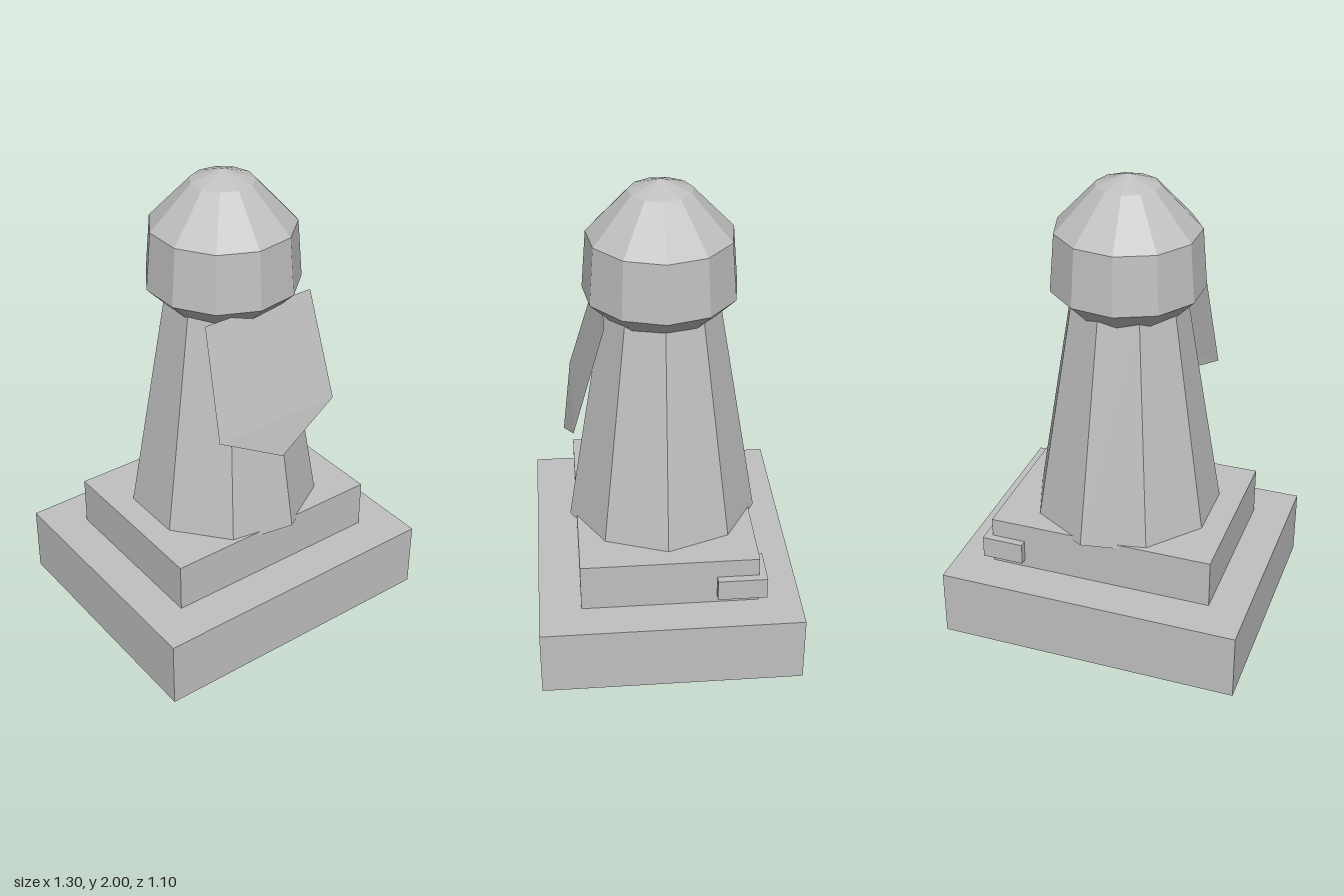
import * as THREE from 'three';

const stone = new THREE.MeshStandardMaterial({ color: 0xc0c0c0 });
stone.name = 'grey stone';
const sheetStone = new THREE.MeshStandardMaterial({ color: 0xc0c0c0, side: THREE.DoubleSide });
sheetStone.name = 'grey stone sheet';

// Adds a named mesh with hard facets
function add(group, name, geometry, material = stone) {
  const faceted = geometry.index ? geometry.toNonIndexed() : geometry;
  faceted.computeVertexNormals();
  const mesh = new THREE.Mesh(faceted, material);
  mesh.name = name;
  group.add(mesh);
  return mesh;
}

// Box given by its low and high corners
function box(group, name, [x0, y0, z0], [x1, y1, z1]) {
  const mesh = add(group, name, new THREE.BoxGeometry(x1 - x0, y1 - y0, z1 - z0));
  mesh.position.set((x0 + x1) / 2, (y0 + y1) / 2, (z0 + z1) / 2);
}

export function createModel() {
  const model = new THREE.Group();
  model.name = 'statue';

  // Stepped base with a small block on the back corner
  box(model, 'base', [-0.65, 0, -0.55], [0.65, 0.295, 0.55]);
  box(model, 'plinth', [-0.487, 0.295, -0.373], [0.487, 0.507, 0.373]);
  box(model, 'cornerBlock', [0.34, 0.33, -0.405], [0.52, 0.425, -0.197]);

  // Nine-sided tapering body, one edge on +x
  const body = new THREE.CylinderGeometry(0.24, 0.408, 1.01, 9, 1, false, Math.PI / 2);
  add(model, 'body', body).position.y = 0.995;

  // Eleven-sided domed head, one edge on +x
  const profile = [[0.2, 1.41], [0.32, 1.53], [0.3, 1.775], [0.13, 1.955], [0, 2]]
    .map(([r, y]) => new THREE.Vector2(r, y));
  add(model, 'head', new THREE.LatheGeometry(profile, 11, Math.PI / 2));

  // Slanting pointed sheet hanging below the head
  const beard = new THREE.BufferGeometry();
  beard.setAttribute('position', new THREE.Float32BufferAttribute([
    -0.26, 1.497, 0.24,
    -0.29, 1.04, 0.375,
    0, 0.885, 0.413,
    0.29, 1.04, 0.375,
    0.26, 1.497, 0.24,
  ], 3));
  beard.setIndex([0, 1, 4, 1, 3, 4, 1, 2, 3]);
  add(model, 'beard', beard, sheetStone);

  return model;
}
